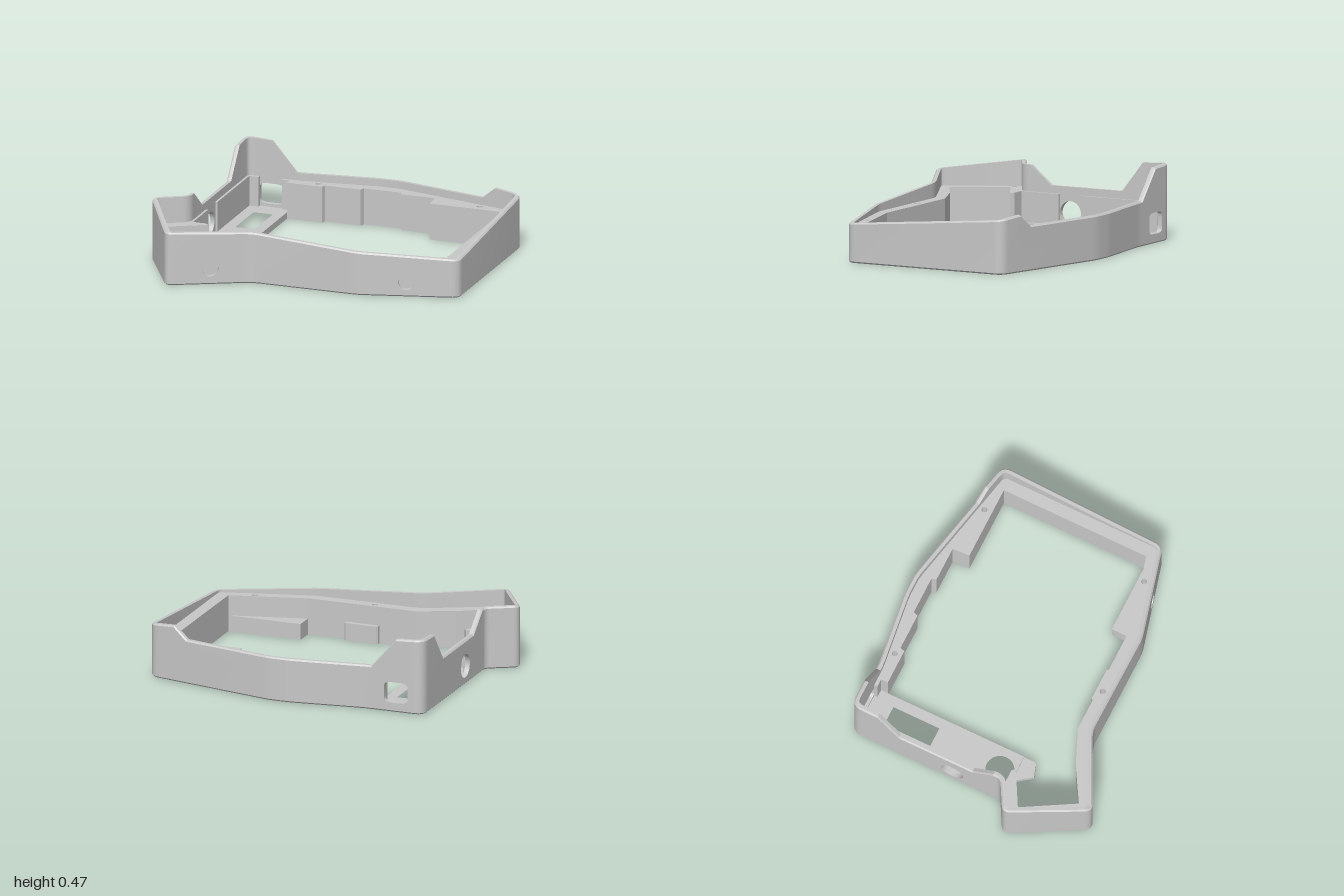
import * as THREE from 'three';
import { toCreasedNormals } from 'three/addons/utils/BufferGeometryUtils.js';

const WALL = 0.03, CHAMFER = 0.009, LEDGE = 0.228;

// Outer corners: [x, z, top height, rounding, extra rim points before the next corner]
const CORNERS = [
  [-0.83, 0.25, 0.39, 0.03, []],
  [-1.018, 0.355, 0.39, 0.05, []],
  [-0.75, 0.833, 0.333, 0.05, []],
  [-0.28, 0.6, 0.32, 0.05, []],
  [0.4, 0.6, 0.272, 0.04, []],
  [1, 0.44, 0.24, 0.05, []],
  [1, -0.638, 0.335, 0.06, [[0.83, -0.676, 0.35], [0.74, -0.695, 0.275]]],
  [0.16, -0.818, 0.275, 0.04, []],
  [0.02, -0.818, 0.275, 0.04, []],
  [-0.45, -0.757, 0.275, 0.03, [[-0.49, -0.757, 0.275], [-0.65, -0.757, 0.46]]],
  [-0.83, -0.757, 0.47, 0.07,
    [[-0.83, -0.58, 0.46], [-0.83, -0.435, 0.275], [-0.83, 0.06, 0.275], [-0.83, 0.2, 0.39]]],
];

// Openings in the outer wall: centre x, z, y and half sizes
const OPENINGS = [
  { x: -0.505, z: 0.712, y: 0.1, w: 0.05, h: 0.05 },
  { x: 0.69, z: 0.523, y: 0.092, w: 0.05, h: 0.05 },
  { x: -0.83, z: -0.075, y: 0.115, w: 0.073, h: 0.073 },
  { x: -0.65, z: -0.757, y: 0.123, w: 0.077, h: 0.065, square: true },
];

// Rounds the corners into one closed outline
function makeOutline() {
  const STEPS = 8, out = [], n = CORNERS.length;
  CORNERS.forEach(([x, z, y, d, mids], k) => {
    const before = CORNERS[(k + n - 1) % n];
    const prev = before[4].length ? before[4].at(-1) : before;
    const next = mids.length ? mids[0] : CORNERS[(k + 1) % n];
    const c = new THREE.Vector3(x, y, z);
    const toward = (q) => {
      const v = new THREE.Vector3(q[0], q[2], q[1]);
      return c.clone().lerp(v, d / Math.hypot(v.x - x, v.z - z));
    };
    const curve = new THREE.QuadraticBezierCurve3(toward(prev), c, toward(next));
    curve.getPoints(STEPS).forEach((p, i) => out.push({ p, k, mids: i === STEPS ? mids : [] }));
  });
  return out;
}

// Mitred inward offset of the outline, as [x, z] pairs
function inset(outline, t) {
  const n = outline.length;
  const normal = (a, b) => new THREE.Vector2(b.z - a.z, a.x - b.x).normalize();
  return outline.map(({ p }, i) => {
    const a = normal(outline[(i + n - 1) % n].p, p);
    const b = normal(p, outline[(i + 1) % n].p);
    const m = a.clone().add(b).multiplyScalar(t / (1 + a.dot(b)));
    return [p.x + m.x, p.z + m.y];
  });
}

function openingLoop(o, uMid, len) {
  const pts = [];
  for (let i = 0; i < 32; i++) {
    const a = ((i + 0.5) / 32) * Math.PI * 2;
    const f = (v) => (o.square ? Math.sign(v) * Math.abs(v) ** 0.4 : v);
    pts.push(new THREE.Vector2(uMid + (f(Math.cos(a)) * o.w) / len, o.y + f(Math.sin(a)) * o.h));
  }
  return pts;
}

// Thin outer wall with a stepped rim, chamfered edges and openings
function wallGeometry(outline) {
  const layers = [0, CHAMFER, WALL].map((t) => inset(outline, t));
  const n = outline.length, pos = [];
  const tri = (...v) => v.forEach((q) => pos.push(...q));
  const quad = (a, b, c, d) => { tri(a, b, c); tri(a, c, d); };

  outline.forEach(({ p, mids }, i) => {
    const j = (i + 1) % n, q = outline[j].p;
    const dx = q.x - p.x, dz = q.z - p.z, len = Math.hypot(dx, dz);
    const along = (x, z) => ((x - p.x) * dx + (z - p.z) * dz) / (len * len);
    const at = (layer, u, y) => {
      const a = layers[layer][i], b = layers[layer][j];
      return [a[0] + (b[0] - a[0]) * u, y, a[1] + (b[1] - a[1]) * u];
    };
    const rim = [[0, p.y], ...mids.map((m) => [along(m[0], m[1]), m[2]]), [1, q.y]];

    const holes = OPENINGS.filter((o) => {
      const u = along(o.x, o.z);
      const off = Math.abs((o.x - p.x) * dz - (o.z - p.z) * dx) / len;
      return u > 0 && u < 1 && off < 0.04;
    }).map((o) => openingLoop(o, along(o.x, o.z), len));

    // outer and inner faces
    const face = (layer, low, drop, flip) => {
      const contour = [new THREE.Vector2(0, low), new THREE.Vector2(1, low),
        ...rim.slice().reverse().map(([u, y]) => new THREE.Vector2(u, y - drop))];
      const all = [contour, ...holes].flat();
      THREE.ShapeUtils.triangulateShape(contour, holes).forEach((f) => {
        const v = f.map((e) => at(layer, all[e].x, all[e].y));
        tri(...(flip ? v.reverse() : v));
      });
    };
    face(0, CHAMFER, CHAMFER, false);
    face(2, 0, 0, true);

    // bottom edge
    quad(at(2, 0, 0), at(2, 1, 0), at(1, 1, 0), at(1, 0, 0));
    quad(at(1, 0, 0), at(1, 1, 0), at(0, 1, CHAMFER), at(0, 0, CHAMFER));
    // rim
    for (let r = 0; r < rim.length - 1; r++) {
      const [u, y] = rim[r], [v, w] = rim[r + 1];
      quad(at(0, u, y - CHAMFER), at(0, v, w - CHAMFER), at(1, v, w), at(1, u, y));
      quad(at(1, u, y), at(1, v, w), at(2, v, w), at(2, u, y));
    }
    // sides of the openings
    holes.forEach((h) => h.forEach((a, e) => {
      const b = h[(e + 1) % h.length];
      quad(at(0, a.x, a.y), at(0, b.x, b.y), at(2, b.x, b.y), at(2, a.x, a.y));
    }));
  });
  const g = new THREE.BufferGeometry();
  g.setAttribute('position', new THREE.Float32BufferAttribute(pos, 3));
  return toCreasedNormals(g, 0.45);
}

// Flat plate from a plan outline of [x, z] points, between two heights
function slab(points, y0, y1, holes = []) {
  const v = (list) => list.map(([x, z]) => new THREE.Vector2(x, -z));
  const shape = new THREE.Shape(v(points));
  holes.forEach((h) => shape.holes.push(new THREE.Path(v(h))));
  const g = new THREE.ExtrudeGeometry(shape, { depth: y1 - y0, bevelEnabled: false });
  return g.rotateX(-Math.PI / 2).translate(0, y0, 0);
}

const rect = (x0, x1, z0, z1) => [[x0, z0], [x1, z0], [x1, z1], [x0, z1]];
const circle = (x, z, r, n) => Array.from({ length: n }, (_, i) => {
  const a = (i / n) * Math.PI * 2;
  return [x + Math.cos(a) * r, z + Math.sin(a) * r];
});

export function createModel() {
  const group = new THREE.Group();
  const grey = new THREE.MeshStandardMaterial({ color: 0xc8c8c8 });
  grey.name = 'light grey';
  const add = (name, geometry) => {
    const mesh = new THREE.Mesh(geometry, grey);
    mesh.name = name;
    group.add(mesh);
  };

  const outline = makeOutline();
  add('outerWall', wallGeometry(outline));

  // Ledge running inside the wall, with blind screw holes
  const inner = inset(outline, WALL).filter((_, i) => outline[i].k <= 9);
  const ledge = [
    [-0.8, 0], ...inner, [-0.525, -0.727],
    [-0.525, -0.66], [-0.3, -0.66], [-0.29, -0.69], [-0.06, -0.69], [-0.05, -0.72],
    [0.19, -0.72], [0.2, -0.69], [0.42, -0.69], [0.425, -0.58], [0.895, -0.58],
    [0.895, 0.38], [0.42, 0.5], [-0.28, 0.5], [-0.5, 0.595], [-0.71, 0.72],
    [-0.895, 0.4], [-0.68, 0.28], [-0.7, 0.26], [-0.785, 0.26], [-0.785, 0],
  ];
  const screws = [[-0.34, -0.705], [0.73, -0.63], [0.745, 0.44], [0, 0.53], [-0.93, 0.39]]
    .map(([x, z]) => circle(x, z, 0.018, 16));
  add('ledgeBase', slab(ledge, 0, 0.14));
  add('ledgeTop', slab(ledge, 0.14, LEDGE, screws));

  // Ledge pieces around the rear window and along the left wall
  add('leftLedge', slab(rect(-0.8, -0.785, -0.727, -0.16), 0, LEDGE));
  add('windowPostLeft', slab(rect(-0.785, -0.725, -0.727, -0.705), 0, LEDGE));
  add('windowPostRight', slab(rect(-0.575, -0.525, -0.727, -0.705), 0, LEDGE));

  // Low blocks against the front wall
  add('frontBlock', slab([[-0.04, 0.5], [-0.04, 0.48], [-0.03, 0.47], [0.17, 0.47], [0.18, 0.48], [0.18, 0.5]], 0, 0.11));
  add('cornerBlock', slab([[0.425, 0.499], [0.425, 0.38], [0.895, 0.38]], 0, 0.1));

  // Floor plate with a slot and a round hole
  add('floorPlate', slab(rect(-0.8, -0.525, -0.727, 0.26), 0, 0.04,
    [rect(-0.715, -0.59, -0.59, -0.28), circle(-0.665, 0.165, 0.088, 40)]));
  add('floorTongue', slab([[-0.7, 0.26], [-0.68, 0.28], [-0.615, 0.37], [-0.535, 0.345], [-0.525, 0.33], [-0.525, 0.26]], 0, 0.03));

  return group;
}
